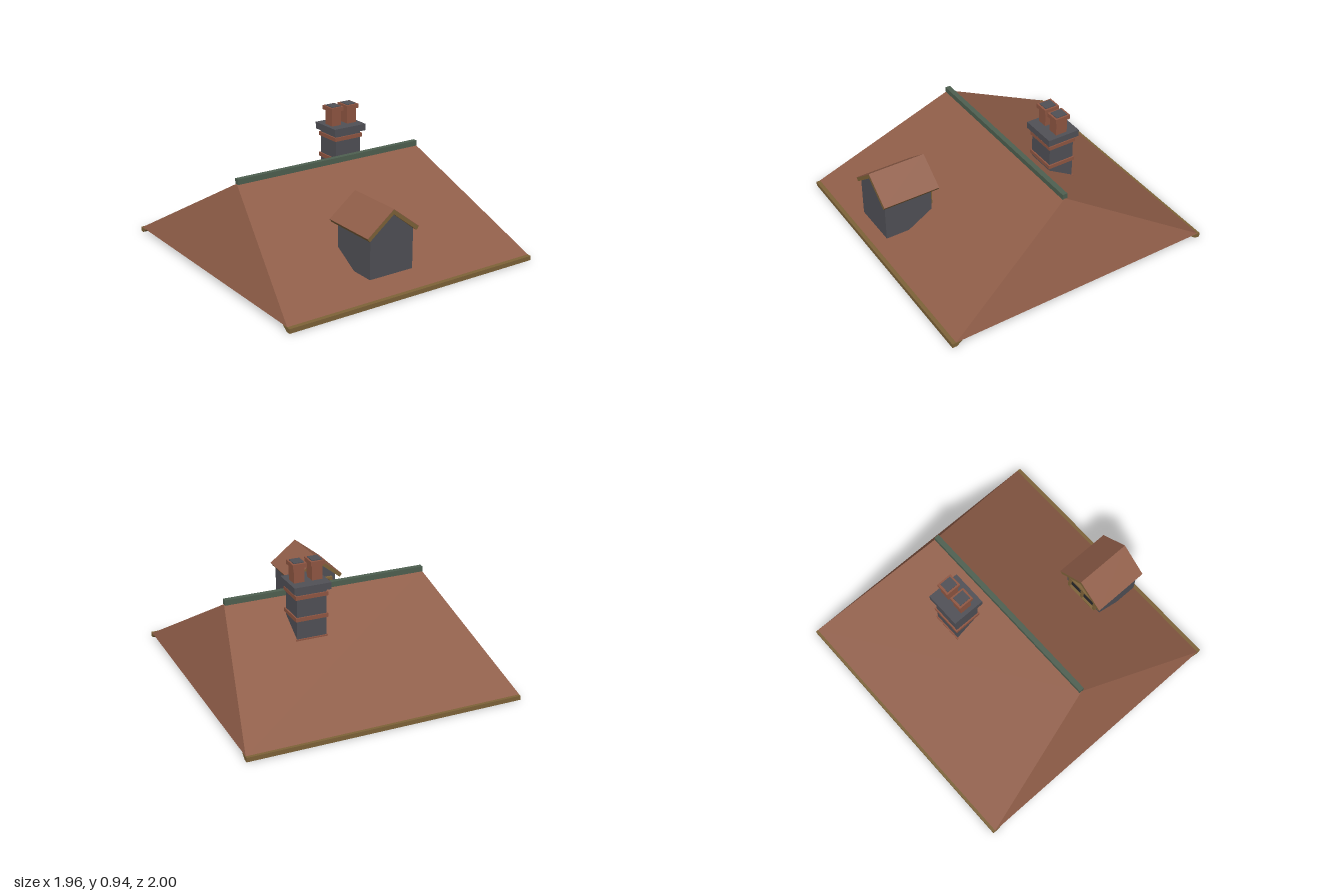
import * as THREE from 'three';

const mat = (name, color) => {
  const m = new THREE.MeshStandardMaterial({ color, side: THREE.DoubleSide });
  m.name = name;
  return m;
};

export function createModel() {
  const tile = mat('roof tile', 0x8f5d48);
  const brick = mat('brick', 0x8f5642);
  const slate = mat('slate', 0x505056);
  const ridgeGreen = mat('ridge green', 0x4e5f50);
  const timber = mat('timber', 0x7d6238);
  const glass = mat('dark glass', 0x27282c);

  const model = new THREE.Group();
  const add = (parent, name, geometry, material, x = 0, y = 0, z = 0) => {
    const mesh = new THREE.Mesh(geometry, material);
    mesh.name = name;
    mesh.position.set(x, y, z);
    parent.add(mesh);
    return mesh;
  };
  // Box given by its lower and upper limits on each axis
  const box = (parent, name, material, [x0, x1], [y0, y1], [z0, z1]) =>
    add(parent, name, new THREE.BoxGeometry(x1 - x0, y1 - y0, z1 - z0), material,
      (x0 + x1) / 2, (y0 + y1) / 2, (z0 + z1) / 2);
  const shape = pts => new THREE.Shape(pts.map(p => new THREE.Vector2(p[0], p[1])));
  const extrude = (pts, depth) =>
    new THREE.ExtrudeGeometry(shape(pts), { depth, bevelEnabled: false });
  const group = name => {
    const g = new THREE.Group();
    g.name = name;
    model.add(g);
    return g;
  };

  // Hollow hipped roof: two long slopes and two steep ends
  const eaveY = 0.036, ridgeY = 0.615, ridgeX = 0.745, eaveX = 0.98;
  const FL = [-eaveX, eaveY, 0.972], FR = [eaveX, eaveY, 0.972];
  const BL = [-eaveX, eaveY, -0.982], BR = [eaveX, eaveY, -0.982];
  const RL = [-ridgeX, ridgeY, 0], RR = [ridgeX, ridgeY, 0];
  const faces = [FL, FR, RR, FL, RR, RL, BR, BL, RL, BR, RL, RR, FR, BR, RR, BL, FL, RL];
  const roofGeo = new THREE.BufferGeometry();
  roofGeo.setAttribute('position', new THREE.Float32BufferAttribute(faces.flat(), 3));
  roofGeo.computeVertexNormals();
  add(model, 'mainRoof', roofGeo, tile);
  box(model, 'ridgeCap', ridgeGreen, [-0.745, 0.745], [0.61, 0.648], [-0.018, 0.018]);

  // Eave boards along the front and back, with a sloping inner underside
  const eave = extrude([[1, 0.034], [1, 0.003], [0.968, 0.003], [0.925, 0.034]], 1.962);
  add(model, 'frontEaveBoard', eave, timber, 0.981, 0, 0).rotation.y = -Math.PI / 2;
  add(model, 'backEaveBoard', eave, timber, -0.981, 0, 0).rotation.y = Math.PI / 2;

  // Chimney stack with three brick bands, a cap and two square pots
  const chimney = group('chimney');
  box(chimney, 'stack', slate, [0.147, 0.358], [0.26, 0.76], [-0.332, -0.144]);
  for (const y of [0.395, 0.551, 0.706])
    box(chimney, 'band', brick, [0.137, 0.368], [y, y + 0.027], [-0.342, -0.134]);
  box(chimney, 'cap', slate, [0.121, 0.384], [0.754, 0.802], [-0.358, -0.118]);
  for (const x of [0.188, 0.317]) {
    box(chimney, 'pot', brick, [x - 0.038, x + 0.038], [0.8, 0.92], [-0.279, -0.193]);
    box(chimney, 'potRim', brick, [x - 0.05, x + 0.05], [0.908, 0.938], [-0.294, -0.181]);
    box(chimney, 'potOpening', slate, [x - 0.037, x + 0.037], [0.937, 0.943], [-0.278, -0.195]);
  }

  // Dormer: four open-bottomed walls under a gabled roof
  const dormer = group('dormer');
  dormer.position.x = -0.168;
  const half = 0.168, base = 0.163, wallTop = 0.44, front = 0.93, back = 0.577;
  const gable = new THREE.ShapeGeometry(
    shape([[-half, base], [half, base], [half, wallTop], [0, 0.575], [-half, wallTop]]));
  add(dormer, 'frontWall', gable, slate, 0, 0, front);
  add(dormer, 'backWall', gable, slate, 0, 0, back).rotation.y = Math.PI;
  for (const s of [-1, 1]) {
    const side = new THREE.PlaneGeometry(front - back, wallTop - base);
    add(dormer, 'sideWall', side, slate, s * half, (base + wallTop) / 2, (front + back) / 2)
      .rotation.y = s * Math.PI / 2;
  }

  // Timber roof frame with a thin tile skin over it
  const z0 = 0.53, depth = 0.417;
  add(dormer, 'dormerRoofFrame', extrude(
    [[0, 0.607], [-0.2, 0.451], [-0.184, 0.43], [0, 0.575], [0.184, 0.43], [0.2, 0.451]],
    depth), timber, 0, 0, z0);
  add(dormer, 'dormerTiles', extrude(
    [[0, 0.611], [-0.201, 0.454], [-0.2, 0.451], [0, 0.607], [0.2, 0.451], [0.201, 0.454]],
    depth), tile, 0, 0, z0);

  // Window facing the ridge: two dark panes in a timber frame
  box(dormer, 'windowPane', glass, [-0.13, 0.13], [0.28, 0.425], [0.57, 0.576]);
  for (const x of [-0.135, -0.009, 0.117])
    box(dormer, 'windowPost', timber, [x, x + 0.018], [0.275, 0.43], [0.552, 0.577]);
  for (const y of [0.272, 0.412])
    box(dormer, 'windowRail', timber, [-0.135, 0.135], [y, y + 0.018], [0.55, 0.577]);

  return model;
}
